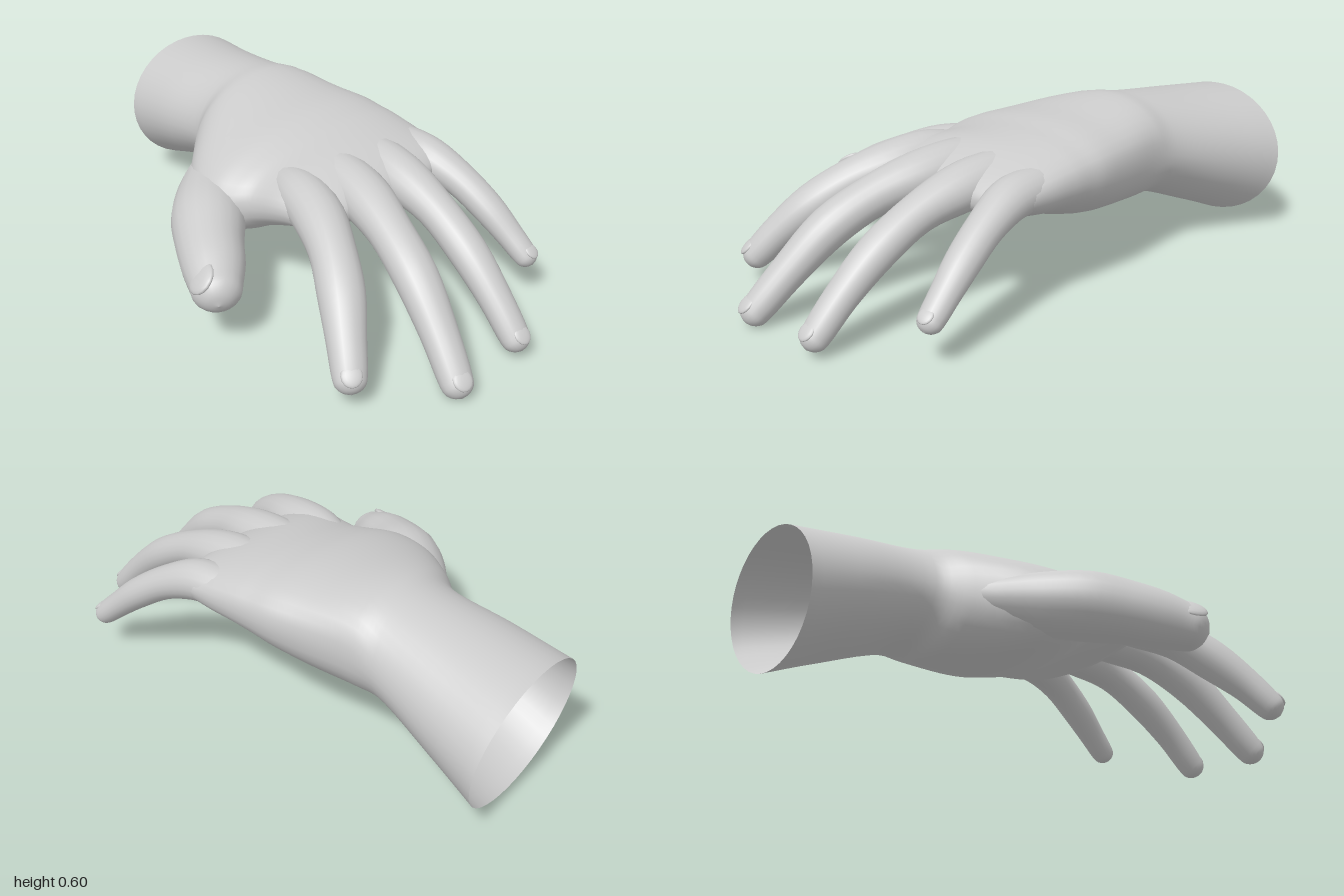
import * as THREE from 'three';

const V = (x, y, z) => new THREE.Vector3(x, y, z);
const skinMaterial = new THREE.MeshStandardMaterial({ color: 0xcccccc, side: THREE.DoubleSide });

// Smooth skin through a row of rings that all have the same number of points
function skin(rings, steps) {
  const sides = rings[0].length;
  const rows = (rings.length - 1) * steps;
  const curves = rings[0].map((_, j) => new THREE.CatmullRomCurve3(rings.map(ring => ring[j])));
  const positions = [];
  const index = [];
  for (let i = 0; i <= rows; i++) {
    for (let j = 0; j < sides; j++) {
      positions.push(...curves[j].getPoint(i / rows).toArray());
      if (i === rows) continue;
      const a = i * sides + j;
      const b = i * sides + (j + 1) % sides;
      index.push(a, a + sides, b, b, a + sides, b + sides);
    }
  }
  const geometry = new THREE.BufferGeometry();
  geometry.setAttribute('position', new THREE.Float32BufferAttribute(positions, 3));
  geometry.setIndex(index);
  geometry.computeVertexNormals();
  return geometry;
}

function addMesh(parent, name, geometry) {
  const mesh = new THREE.Mesh(geometry, skinMaterial);
  mesh.name = name;
  parent.add(mesh);
  return mesh;
}

// Cross-section of forearm or palm: [x, zBack, zFront, yBack, yFront, rise, drop]
function bodyRing([x, z0, z1, y0, y1, rise, drop], sides = 40) {
  const round = x < -0.45 ? 1 : 0.85;
  return Array.from({ length: sides }, (_, j) => {
    const a = (j / sides) * Math.PI * 2;
    const s = Math.sin(a);
    const t = 0.5 + 0.5 * Math.cos(a);
    const offset = Math.sign(s) * Math.pow(Math.abs(s), round) * (s > 0 ? rise : drop);
    const y = THREE.MathUtils.lerp(y0, y1, t) + offset;
    const slant = x < -0.9 ? -0.16 * offset : 0; // slanted open cuff
    return V(x + slant, y, THREE.MathUtils.lerp(z0, z1, t));
  });
}

const BODY = [
  [-0.96, -0.60, 0.01, 0.29, 0.29, 0.24, 0.25],
  [-0.75, -0.54, 0.02, 0.33, 0.33, 0.225, 0.22],
  [-0.50, -0.48, 0.03, 0.395, 0.365, 0.205, 0.185],
  [-0.40, -0.475, 0.12, 0.42, 0.35, 0.21, 0.215],
  [-0.20, -0.50, 0.29, 0.43, 0.315, 0.195, 0.22],
  [-0.08, -0.515, 0.31, 0.435, 0.325, 0.18, 0.195],
  [0.00, -0.515, 0.28, 0.435, 0.335, 0.165, 0.17],
  [0.07, -0.515, 0.235, 0.435, 0.355, 0.15, 0.15],
  [0.20, -0.51, 0.22, 0.43, 0.395, 0.115, 0.125],
  [0.31, -0.49, 0.19, 0.425, 0.40, 0.075, 0.085],
  [0.365, -0.38, 0.08, 0.415, 0.40, 0.04, 0.05],
  [0.385, -0.13, -0.13, 0.40, 0.40, 0, 0],
];

// Finger centre lines from inside the palm to the tip: [x, y, z, radius]
const FINGERS = {
  indexFinger: [[0.02, 0.42, 0.06, 0.055], [0.18, 0.425, 0.1, 0.088], [0.32, 0.405, 0.14, 0.092],
    [0.46, 0.36, 0.205, 0.081], [0.58, 0.28, 0.275, 0.081], [0.68, 0.183, 0.345, 0.067], [0.745, 0.105, 0.39, 0.058]],
  middleFinger: [[0.02, 0.45, -0.09, 0.06], [0.2, 0.44, -0.075, 0.092], [0.36, 0.42, -0.048, 0.094],
    [0.52, 0.378, -0.005, 0.079], [0.68, 0.297, 0.035, 0.078], [0.83, 0.167, 0.072, 0.066], [0.942, 0.053, 0.103, 0.057]],
  ringFinger: [[0.02, 0.455, -0.27, 0.06], [0.2, 0.445, -0.255, 0.088], [0.35, 0.425, -0.243, 0.09],
    [0.52, 0.378, -0.23, 0.072], [0.68, 0.29, -0.22, 0.07], [0.82, 0.175, -0.212, 0.06], [0.923, 0.07, -0.207, 0.053]],
  littleFinger: [[0.02, 0.445, -0.41, 0.05], [0.17, 0.435, -0.42, 0.078], [0.3, 0.425, -0.43, 0.079],
    [0.43, 0.375, -0.457, 0.066], [0.55, 0.297, -0.482, 0.061], [0.64, 0.222, -0.5, 0.052], [0.705, 0.165, -0.512, 0.046]],
  thumb: [[-0.34, 0.33, 0.06, 0.08], [-0.18, 0.305, 0.215, 0.122], [-0.06, 0.292, 0.32, 0.133],
    [0.05, 0.27, 0.4, 0.12], [0.14, 0.248, 0.455, 0.11], [0.21, 0.227, 0.5, 0.092]],
};

function buildFinger(name, path, nailRoll, sides = 20) {
  const finger = new THREE.Group();
  finger.name = name;
  const points = path.map(([x, y, z]) => V(x, y, z));
  const last = points.length - 1;

  // Local axes along the finger: direction, upper side, sideways
  const frame = i => {
    const dir = points[Math.min(i + 1, last)].clone().sub(points[Math.max(i - 1, 0)]).normalize();
    const side = dir.clone().cross(V(0, 1, 0)).normalize();
    return { dir, side, up: side.clone().cross(dir) };
  };
  const ring = (centre, { side, up }, r) => Array.from({ length: sides }, (_, j) => {
    const a = (j / sides) * Math.PI * 2;
    return centre.clone().addScaledVector(side, r * Math.cos(a)).addScaledVector(up, 0.92 * r * Math.sin(a));
  });

  const rings = points.map((p, i) => ring(p, frame(i), path[i][3]));
  const tip = points[last];
  const tipRadius = path[last][3];
  const axes = frame(last);
  // Rounded fingertip
  for (const [along, width] of [[0.5, 0.87], [0.85, 0.5], [1, 0]]) {
    rings.push(ring(tip.clone().addScaledVector(axes.dir, along * tipRadius), axes, width * tipRadius));
  }
  addMesh(finger, name + 'Skin', skin(rings, 4));

  // Nail: a shallow plate sunk into the back of the tip
  const up = axes.up.clone().applyAxisAngle(axes.dir, nailRoll);
  const side = axes.dir.clone().cross(up);
  const nail = addMesh(finger, name + 'Nail', new THREE.SphereGeometry(1, 16, 10));
  nail.scale.set(0.68, 0.2, 0.62).multiplyScalar(tipRadius);
  nail.quaternion.setFromRotationMatrix(new THREE.Matrix4().makeBasis(axes.dir, up, side));
  nail.position.copy(tip).addScaledVector(up, 0.76 * tipRadius).addScaledVector(axes.dir, 0.05 * tipRadius);
  return finger;
}

export function createModel() {
  const hand = new THREE.Group();
  hand.name = 'hand';
  addMesh(hand, 'forearmAndPalm', skin(BODY.map(section => bodyRing(section)), 5));
  for (const [name, path] of Object.entries(FINGERS)) {
    hand.add(buildFinger(name, path, name === 'thumb' ? 0.8 : 0)); // thumb nail turns outwards
  }
  return hand;
}
